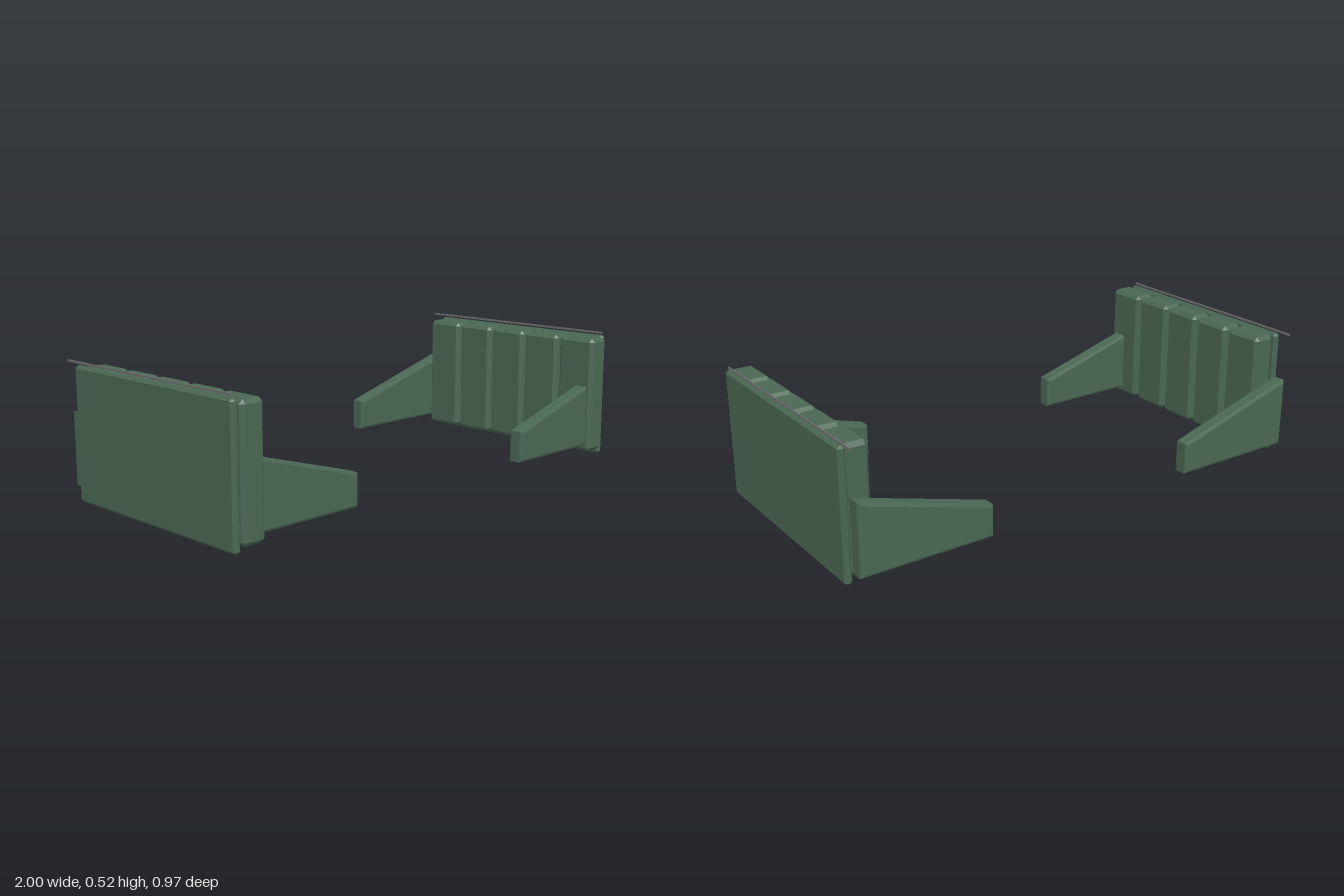
import * as THREE from 'three';
import { ConvexGeometry } from 'three/addons/geometries/ConvexGeometry.js';

const green = new THREE.MeshStandardMaterial({ color: 0x4a6853, flatShading: true });
const grey = new THREE.MeshStandardMaterial({ color: 0x6c706c, flatShading: true });

// Box with every edge chamfered by c
function chamferBox(w, h, d, c) {
  const points = [];
  for (const sx of [-1, 1]) for (const sy of [-1, 1]) for (const sz of [-1, 1]) {
    for (let axis = 0; axis < 3; axis++) {
      const half = [w / 2 - c, h / 2 - c, d / 2 - c];
      half[axis] += c;
      points.push(new THREE.Vector3(sx * half[0], sy * half[1], sz * half[2]));
    }
  }
  return new ConvexGeometry(points);
}

// Tapering arm, drawn for one side (s = 1 or -1) and bevelled all round
function armGeometry(s) {
  const outline = [[0.45, 0.05], [0.975, 0.05], [0.975, 0.328], [0.45, 0.174]];
  const shape = new THREE.Shape(outline.map(([x, y]) => new THREE.Vector2(s * x, y)));
  const bevel = 0.011;
  const geometry = new THREE.ExtrudeGeometry(shape, {
    depth: 0.062 - 2 * bevel, bevelEnabled: true, bevelThickness: bevel,
    bevelSize: bevel, bevelOffset: -bevel, bevelSegments: 2,
  });
  geometry.translate(0, 0, -0.031 + bevel);
  return geometry;
}

function createSide(s) {
  const side = new THREE.Group();
  side.name = s > 0 ? 'leftSide' : 'rightSide';
  const add = (name, geometry, material, x, y, z) => {
    const mesh = new THREE.Mesh(geometry, material);
    mesh.name = name;
    mesh.position.set(x, y, z);
    side.add(mesh);
  };

  // Outer panel
  add('outerPanel', chamferBox(0.03, 0.503, 0.89, 0.01), green, s * 0.985, 0.2535, 0.022);

  // Row of inner pads
  const pad = chamferBox(0.095, 0.475, 0.17, 0.015);
  for (let i = 0; i < 5; i++) {
    add('innerPad' + (i + 1), pad, green, s * 0.9275, 0.2625, -0.325 + i * 0.181);
  }

  // Front and back arms
  const arm = armGeometry(s);
  add('frontArm', arm, green, 0, 0, 0.432);
  add('backArm', arm, green, 0, 0, -0.456);

  // Thin strip running above the panel
  add('topRod', new THREE.BoxGeometry(0.005, 0.008, 0.935), grey, s * 0.988, 0.515, -0.0135);
  return side;
}

export function createModel() {
  const model = new THREE.Group();
  model.name = 'sidePanels';
  model.add(createSide(1), createSide(-1));
  return model;
}
